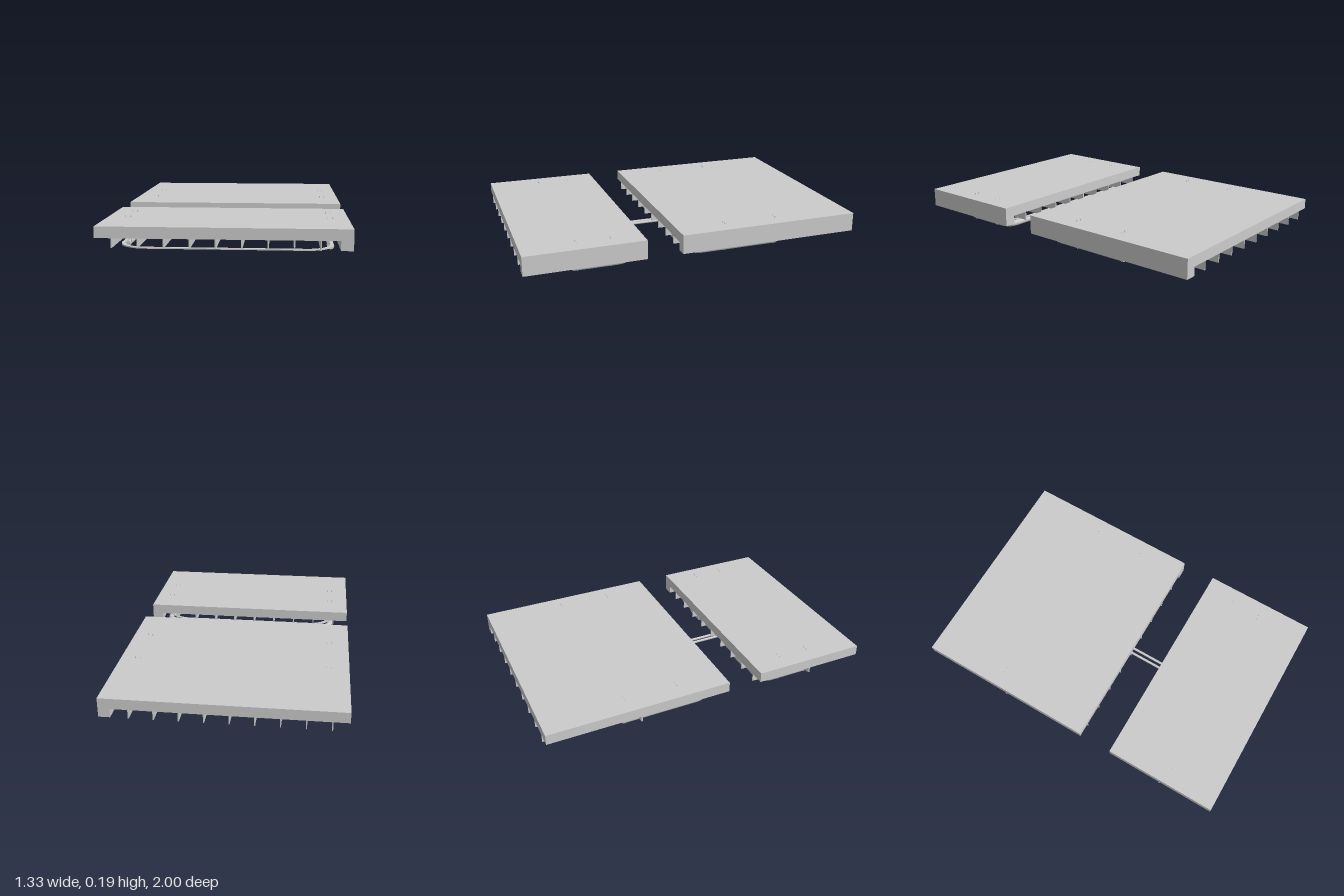
import * as THREE from 'three';

const mat = new THREE.MeshStandardMaterial({ color: 0xcccccc });
const CX = 0.007, PIPE_Y = 0.03, PIPE_X = 0.562;

function add(parent, name, geometry) {
  const mesh = new THREE.Mesh(geometry, mat);
  mesh.name = name;
  parent.add(mesh);
  return mesh;
}

// Box given by its two opposite corners
function box(parent, name, x0, x1, y0, y1, z0, z1) {
  add(parent, name, new THREE.BoxGeometry(x1 - x0, y1 - y0, z1 - z0))
    .position.set((x0 + x1) / 2, (y0 + y1) / 2, (z0 + z1) / 2);
}

// Rounded rectangle, used for the outline and the hole of the ring
function roundedRect(target, x0, x1, y0, y1, r) {
  target.moveTo(x0 + r, y0);
  target.lineTo(x1 - r, y0);
  target.absarc(x1 - r, y0 + r, r, -Math.PI / 2, 0);
  target.lineTo(x1, y1 - r);
  target.absarc(x1 - r, y1 - r, r, 0, Math.PI / 2);
  target.lineTo(x0 + r, y1);
  target.absarc(x0 + r, y1 - r, r, Math.PI / 2, Math.PI);
  target.lineTo(x0, y0 + r);
  target.absarc(x0 + r, y0 + r, r, Math.PI, Math.PI * 1.5);
  return target;
}

// Deck slab with one side skirt, lengthwise ribs and a tapered cross beam
function createDeck(name, z0, z1) {
  const deck = new THREE.Group();
  deck.name = name;
  const bottom = 0.065, under = 0.116;
  const profile = new THREE.Shape([
    [-0.665, under], [0.6, under], [0.6, bottom], [0.665, bottom], [0.665, 0.177], [-0.665, 0.177],
  ].map(([x, y]) => new THREE.Vector2(x, y)));
  const slab = new THREE.ExtrudeGeometry(profile, { depth: z1 - z0, bevelEnabled: false });
  add(deck, 'deckSlab', slab).position.z = z0;

  for (let i = 0; i < 9; i++) {
    const x = -0.575 + i * 0.1345;
    box(deck, 'rib', x - 0.003, x + 0.003, bottom, under, z0, z1);
  }

  const beam = new THREE.Shape([
    [-0.665, under], [-0.665, 0.083], [-0.575, bottom], [0.6, bottom], [0.6, under],
  ].map(([x, y]) => new THREE.Vector2(x, y)));
  const beamGeo = new THREE.ExtrudeGeometry(beam, { depth: 0.008, bevelEnabled: false });
  add(deck, 'crossBeam', beamGeo).position.z = (z0 + z1) / 2 - 0.004;
  return deck;
}

// Flat rounded ring under a deck
function createRing(z0, z1) {
  const w = 0.02, r = 0.15;
  const shape = roundedRect(new THREE.Shape(), CX - 0.572, CX + 0.572, z0, z1, r);
  shape.holes.push(roundedRect(new THREE.Path(), CX - 0.572 + w, CX + 0.572 - w, z0 + w, z1 - w, r - w));
  const geo = new THREE.ExtrudeGeometry(shape, { depth: 0.007, bevelEnabled: false, curveSegments: 10 });
  geo.rotateX(Math.PI / 2);
  geo.translate(0, 0.057, 0);
  return geo;
}

// One bent pipe with its canister, sleeve and thin rod; side is -1 or 1
function createPipeArm(side, zAxis, zEnd, boltZs) {
  const arm = new THREE.Group();
  arm.name = side > 0 ? 'leftPipeArm' : 'rightPipeArm';
  const px = (d) => CX + side * d;
  const dir = Math.sign(zEnd - zAxis), bend = 0.07;

  const path = new THREE.CurvePath();
  const v = (d, z) => new THREE.Vector3(px(d), PIPE_Y + 0.002, z);
  const a = v(PIPE_X - bend, zAxis), b = v(PIPE_X, zAxis + dir * bend);
  path.add(new THREE.LineCurve3(v(0.36, zAxis), a));
  path.add(new THREE.QuadraticBezierCurve3(a, v(PIPE_X, zAxis), b));
  path.add(new THREE.LineCurve3(b, v(PIPE_X, zEnd)));
  add(arm, 'bentPipe', new THREE.TubeGeometry(path, 64, 0.018, 16));
  const cap = add(arm, 'pipeEndCap', new THREE.CircleGeometry(0.018, 16));
  cap.position.set(px(PIPE_X), PIPE_Y + 0.002, zEnd);
  if (dir < 0) cap.rotation.y = Math.PI;

  // Straight run towards the middle: [name, outer, inner, outer radius, inner radius]
  const run = [
    ['canisterShoulder', 0.372, 0.362, 0.018, 0.025],
    ['canister', 0.362, 0.25, 0.025, 0.025],
    ['canisterCone', 0.25, 0.21, 0.022, 0.01],
    ['sleeve', 0.22, 0.07, 0.016, 0.016],
    ['thinRod', 0.07, 0.035, 0.005, 0.005],
    ['rodFitting', 0.038, 0.01, 0.008, 0.008],
  ];
  for (const [name, outer, inner, rOuter, rInner] of run) {
    const geo = new THREE.CylinderGeometry(rOuter, rInner, outer - inner, 20);
    geo.rotateZ(-side * Math.PI / 2);
    add(arm, name, geo).position.set(px((outer + inner) / 2), name.startsWith('canister') ? 0.027 : PIPE_Y, zAxis);
  }

  // U-bolts around the pipe, passing up through the deck
  for (const z of boltZs) {
    for (const dx of [-0.0145, 0.0145]) {
      const leg = add(arm, 'boltLeg', new THREE.CylinderGeometry(0.002, 0.002, 0.156, 8));
      leg.position.set(px(PIPE_X - 0.005) + dx, 0.109, z);
    }
    const saddle = add(arm, 'boltSaddle', new THREE.TorusGeometry(0.019, 0.002, 6, 14, Math.PI));
    saddle.rotation.z = Math.PI;
    saddle.position.set(px(PIPE_X), PIPE_Y + 0.002, z);
  }
  return arm;
}

export function createModel() {
  const model = new THREE.Group();
  model.name = 'twinDeck';
  const units = [
    { name: 'rearDeck', z0: -1, z1: 0.1, ring: [-0.89, 0.025], axis: 0.007, end: -0.53, bolts: [-0.19, -0.515] },
    { name: 'frontDeck', z0: 0.31, z1: 1, ring: [0.37, 0.935], axis: 0.39, end: 0.715, bolts: [0.497, 0.69] },
  ];
  for (const u of units) {
    model.add(createDeck(u.name, u.z0, u.z1));
    add(model, 'flatRing', createRing(...u.ring));
    for (const side of [-1, 1]) model.add(createPipeArm(side, u.axis, u.end, u.bolts));
  }

  // Twin rods linking the two pipe assemblies
  for (const side of [-1, 1]) {
    const rod = new THREE.CylinderGeometry(0.008, 0.008, 0.395, 16);
    rod.rotateX(Math.PI / 2);
    add(model, 'linkRod', rod).position.set(CX + side * 0.016, PIPE_Y, 0.1985);
  }

  // Settle the model on the ground
  const bounds = new THREE.Box3().setFromObject(model);
  for (const child of model.children) child.position.y -= bounds.min.y;
  return model;
}
